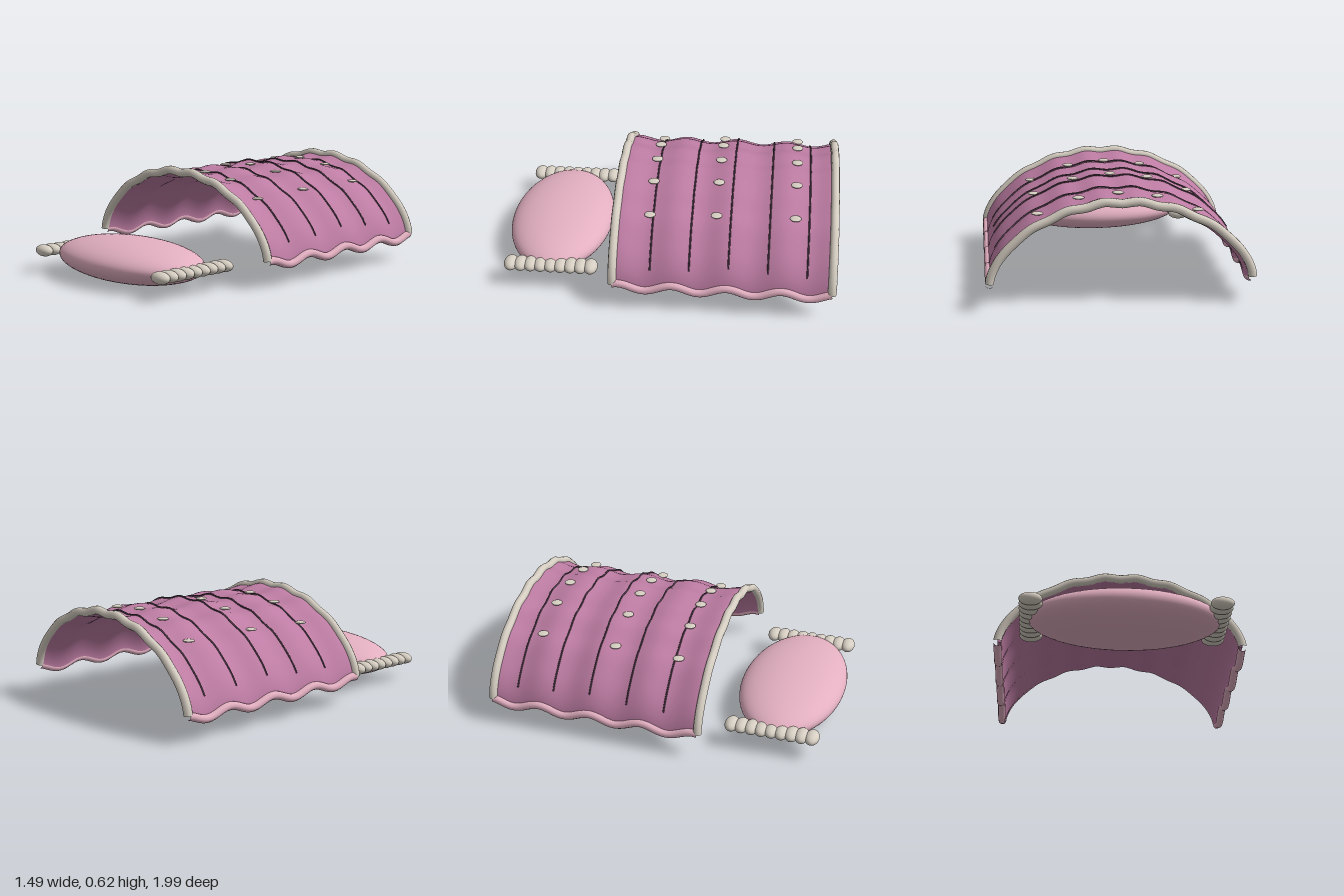
import * as THREE from 'three';

const HALF = 0.722, Z_FRONT = 0.285, Z_BACK = -0.975;

// Height of the draped, rippled quilt at a point
function quiltY(x, z) {
  const u = Math.min(1, Math.abs(x) / HALF);
  const arch = 0.142 + 0.444 * Math.pow(1 - u * u, 0.62);
  const alongZ = -(0.012 + 0.008 * u * u) * Math.cos((z - 0.1) * 19.95);
  const alongX = -0.007 * (1 - u * u) * Math.cos(x * 10 * Math.PI);
  return arch + alongZ + alongX;
}

// Point across the quilt; s runs from -1 (right edge) to 1 (left edge)
function quiltPoint(s, z, lift = 0) {
  const x = HALF * Math.sin(s * Math.PI / 2);
  return new THREE.Vector3(x, quiltY(x, z) + lift, z);
}

// Cloth with thickness: closed cross-sections lofted along z
function clothGeometry(nx = 72, nz = 64, thick = 0.022) {
  const pos = [], index = [], ring = 2 * (nx + 1);
  for (let j = 0; j <= nz; j++) {
    const z = Z_BACK + (Z_FRONT - Z_BACK) * j / nz;
    const outer = [], inner = [];
    for (let i = 0; i <= nx; i++) {
      const s = -1 + 2 * i / nx;
      const p = quiltPoint(s, z);
      const a = quiltPoint(Math.max(-1, s - 0.02), z), b = quiltPoint(Math.min(1, s + 0.02), z);
      const n = new THREE.Vector3(a.y - b.y, b.x - a.x, 0).normalize();
      outer.push(p);
      inner.unshift(p.clone().addScaledVector(n, -thick));
    }
    [...outer, ...inner].forEach(p => pos.push(p.x, p.y, p.z));
  }
  for (let j = 0; j < nz; j++) {
    for (let i = 0; i < ring; i++) {
      const k = (i + 1) % ring;
      const a = j * ring + i, b = j * ring + k, c = a + ring, d = b + ring;
      index.push(a, c, b, b, c, d);
    }
  }
  const g = new THREE.BufferGeometry();
  g.setAttribute('position', new THREE.Float32BufferAttribute(pos, 3));
  g.setIndex(index);
  g.computeVertexNormals();
  return g;
}

export function createModel() {
  const model = new THREE.Group();
  const mat = (name, color) => {
    const m = new THREE.MeshStandardMaterial({ color });
    m.name = name;
    return m;
  };
  const mauve = mat('mauve cloth', 0xbd7ca3);
  mauve.side = THREE.DoubleSide;
  const pink = mat('pale pink', 0xe2afc0);
  const cream = mat('cream', 0xd6cec2);
  const dark = mat('dark thread', 0x57404f);

  const add = (parent, name, geometry, material, x = 0, y = 0, z = 0) => {
    const mesh = new THREE.Mesh(geometry, material);
    mesh.name = name;
    mesh.position.set(x, y, z);
    parent.add(mesh);
    return mesh;
  };
  const tube = (points, radius, sides) =>
    new THREE.TubeGeometry(new THREE.CatmullRomCurve3(points), 96, radius, sides);
  const samples = (n, fn) => Array.from({ length: n + 1 }, (_, i) => fn(i / n));

  // Quilt sheet
  const quilt = new THREE.Group();
  quilt.name = 'quilt';
  model.add(quilt);
  add(quilt, 'quiltSheet', clothGeometry(), mauve);

  // Cream piping over the front and back edges
  for (const [name, z] of [['frontPiping', Z_FRONT], ['backPiping', Z_BACK]]) {
    const path = samples(48, t => quiltPoint(-1 + 2 * t, z, 0.002));
    add(quilt, name, tube(path, 0.025, 10), cream);
  }

  // Wavy pink piping along the side hems
  for (const [name, s] of [['leftHem', 1], ['rightHem', -1]]) {
    const path = samples(48, t => quiltPoint(s, Z_BACK + (Z_FRONT - Z_BACK) * t));
    add(quilt, name, tube(path, 0.024, 10), pink);
  }

  // Stitched seams
  for (const z of [-0.83, -0.605, -0.38, -0.155, 0.07]) {
    const path = samples(48, t => {
      const x = -0.685 + 1.37 * t;
      return new THREE.Vector3(x, quiltY(x, z) + 0.004, z);
    });
    add(quilt, 'seam', tube(path, 0.005, 6), dark);
  }

  // Flat tuft buttons
  const button = new THREE.SphereGeometry(0.033, 20, 10).scale(1, 0.24, 1);
  for (const z of [-0.75, -0.295, 0.09]) {
    for (const x of [-0.45, -0.22, 0, 0.22, 0.45]) {
      add(quilt, 'button', button, cream, x, quiltY(x, z) + 0.012, z);
    }
  }

  // Pillow with a ruffle of plump beads at each end
  const pillow = new THREE.Group();
  pillow.name = 'pillow';
  model.add(pillow);
  add(pillow, 'cushion', new THREE.SphereGeometry(1, 48, 32).scale(0.545, 0.124, 0.311),
    pink, 0, 0.126, 0.682);
  const bead = new THREE.SphereGeometry(1, 20, 14).scale(0.066, 0.035, 0.042);
  for (const side of [-1, 1]) {
    for (let i = 0; i < 9; i++) {
      add(pillow, 'ruffleBead', bead, cream, side * 0.525, 0.131, 0.437 + i * 0.0592);
    }
  }
  return model;
}
